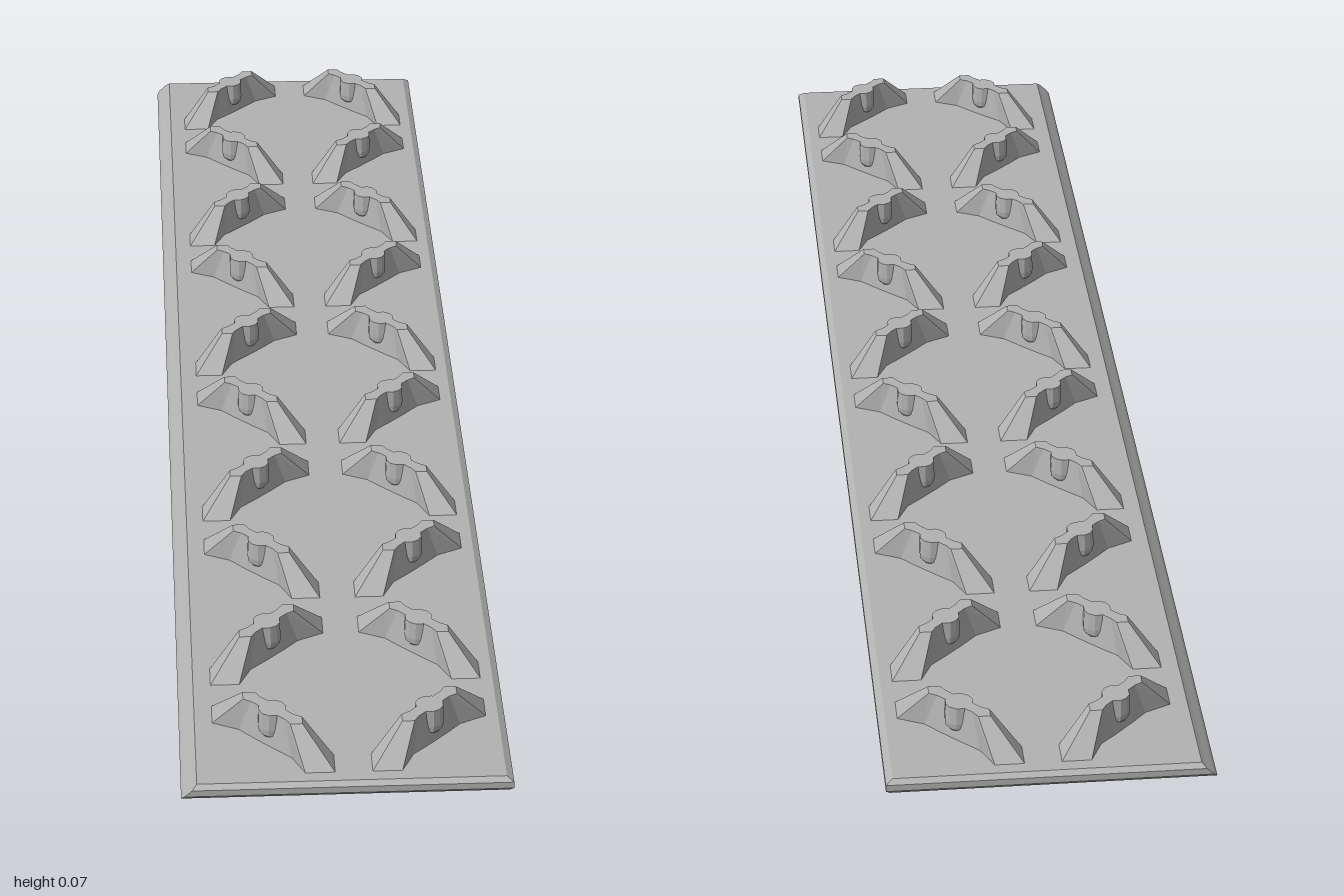
import * as THREE from 'three';

// Solid skinned upward through loops of [x, y, z], each running clockwise seen from above
function skin(loops) {
  const pos = [];
  const tri = (a, b, c) => pos.push(...a, ...b, ...c);
  const n = loops[0].length;
  for (let k = 0; k < loops.length - 1; k++) {
    for (let i = 0; i < n; i++) {
      const j = (i + 1) % n;
      const [a, b, c, d] = [loops[k][i], loops[k][j], loops[k + 1][j], loops[k + 1][i]];
      tri(a, c, b);
      tri(a, d, c);
    }
  }
  // Flat end caps, fanned from the centre
  const cap = (loop, top) => {
    const mid = [0, 1, 2].map((q) => loop.reduce((s, p) => s + p[q], 0) / n);
    loop.forEach((p, i) => {
      const next = loop[(i + 1) % n];
      if (top) tri(mid, next, p);
      else tri(mid, p, next);
    });
  };
  cap(loops[0], false);
  cap(loops[loops.length - 1], true);
  const g = new THREE.BufferGeometry();
  g.setAttribute('position', new THREE.Float32BufferAttribute(pos, 3));
  g.computeVertexNormals();
  return g;
}

// Full bow-tie outline at height y from its tip and one quarter of its side
function bowTie(y, tip, side) {
  const back = side.slice().reverse();
  return [
    [tip, 0],
    ...side,
    ...back.map(([u, v]) => [-u, v]),
    [-tip, 0],
    ...side.map(([u, v]) => [-u, -v]),
    ...back.map(([u, v]) => [u, -v]),
  ].map(([u, v]) => [u, y, v]);
}

export function createModel() {
  const model = new THREE.Group();
  const grey = new THREE.MeshStandardMaterial({ color: 0xb2b2b2, flatShading: true });
  grey.name = 'grey';

  // Long base plate: sloped on one side, chamfered on the others
  const levels = [
    [0, -0.21, 0.205, 0.996],
    [0.005, -0.206, 0.21, 1],
    [0.014, -0.196, 0.21, 1],
    [0.02, -0.19, 0.201, 0.994],
  ];
  const plate = new THREE.Mesh(
    skin(levels.map(([y, l, r, z]) => [[r, y, -z], [r, y, z], [l, y, z], [l, y, -z]])),
    grey
  );
  plate.name = 'basePlate';
  model.add(plate);

  // Tread lug: wide pointed ends sloping up to a narrow ridge
  const lugGeometry = skin([
    bowTie(0.019, 0.109, [[0.082, 0.027], [0.046, 0.014], [0.018, 0.015]]),
    bowTie(0.068, 0.052, [[0.041, 0.011], [0.03, 0.008], [0.013, 0.008]]),
  ]);

  // Round boss through the middle of the lug, with a rounded underside
  const bossProfile = [[0, 0.028], [0.012, 0.029], [0.018, 0.036], [0.019, 0.044], [0.018, 0.068], [0, 0.068]];
  const bossGeometry = new THREE.LatheGeometry(bossProfile.map(([r, y]) => new THREE.Vector2(r, y)), 12);

  // Two columns of ten lugs, alternating in a zigzag
  for (let row = 0; row < 10; row++) {
    for (const side of [-1, 1]) {
      const lug = new THREE.Group();
      lug.name = 'treadLug';
      const body = new THREE.Mesh(lugGeometry, grey);
      body.name = 'lugBody';
      const boss = new THREE.Mesh(bossGeometry, grey);
      boss.name = 'lugBoss';
      lug.add(body, boss);
      lug.position.set(side < 0 ? -0.091 : 0.109, 0, -0.9 + row * 0.2);
      lug.rotation.y = (row % 2 ? 1 : -1) * side * Math.PI / 4;
      model.add(lug);
    }
  }
  return model;
}
